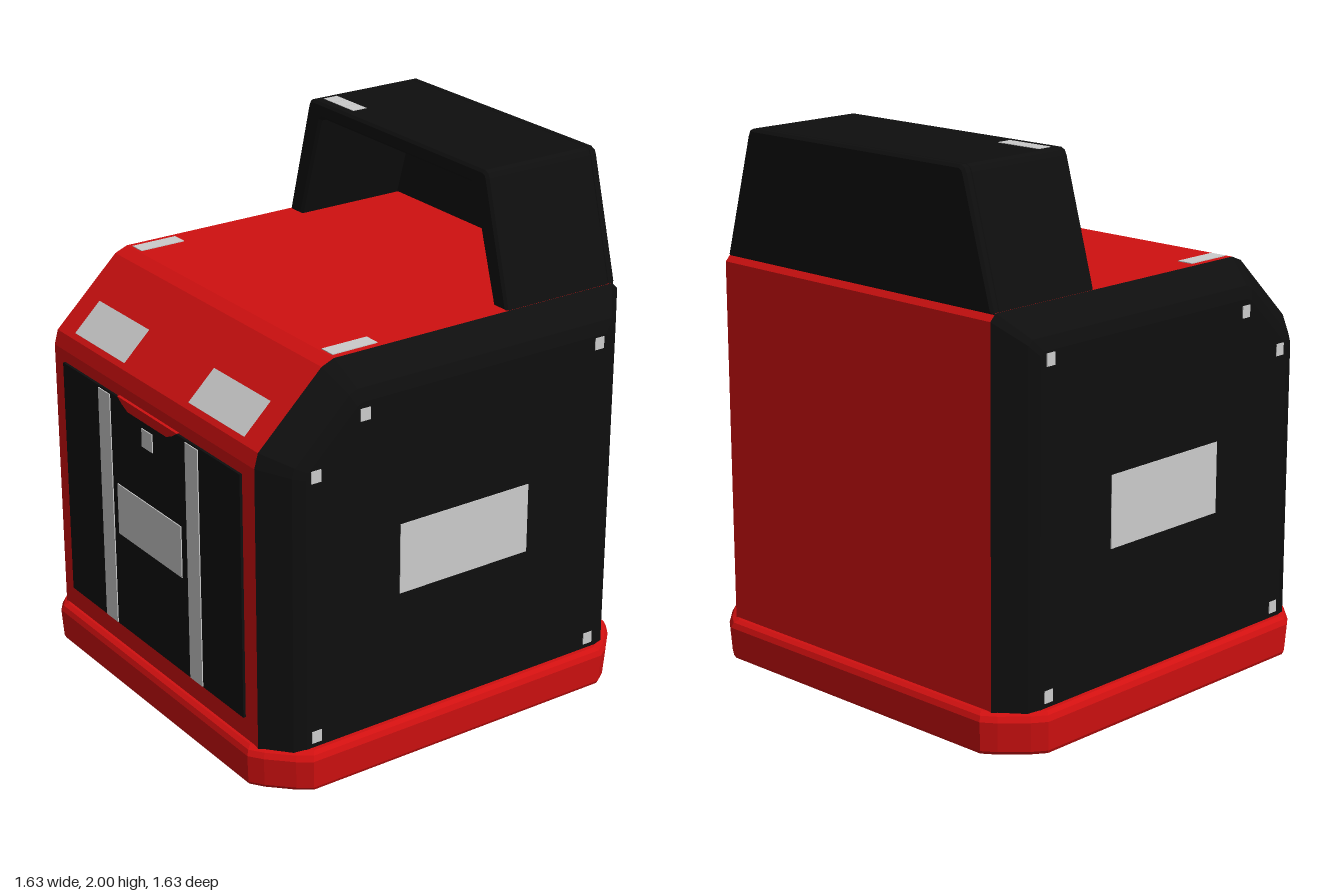
import * as THREE from 'three';

const red = new THREE.MeshStandardMaterial({ color: 0xd01010 });
const black = new THREE.MeshStandardMaterial({ color: 0x0e0e0e });
const grey = new THREE.MeshStandardMaterial({ color: 0xcccccc });

// Closed, flat-faced solid through rings of equal point count, capped by fans
function loft(rings) {
  const n = rings[0].length, tris = [];
  for (let r = 0; r < rings.length - 1; r++) {
    for (let i = 0; i < n; i++) {
      const j = (i + 1) % n, a = rings[r], b = rings[r + 1];
      tris.push([a[i], a[j], b[j]], [a[i], b[j], b[i]]);
    }
  }
  const first = rings[0], last = rings[rings.length - 1];
  for (let i = 1; i < n - 1; i++) {
    tris.push([first[0], first[i + 1], first[i]], [last[0], last[i], last[i + 1]]);
  }
  // Turn the faces outward whichever way the rings run
  let volume = 0;
  for (const [a, b, c] of tris) volume += a.dot(b.clone().cross(c));
  const pos = [];
  for (const t of tris) for (const p of volume < 0 ? t.reverse() : t) pos.push(p.x, p.y, p.z);
  const g = new THREE.BufferGeometry();
  g.setAttribute('position', new THREE.Float32BufferAttribute(pos, 3));
  g.computeVertexNormals();
  return g;
}

export function createModel() {
  const model = new THREE.Group();
  const add = (name, geometry, material, x = 0, y = 0, z = 0) => {
    const m = new THREE.Mesh(geometry, material);
    m.name = name;
    m.position.set(x, y, z);
    model.add(m);
    return m;
  };
  const box = (name, mat, w, h, d, x, y, z) => add(name, new THREE.BoxGeometry(w, h, d), mat, x, y, z);

  // Base tray with chamfered corners
  const corner = [[0.815, 0.65], [0.78, 0.7], [0.7, 0.78], [0.65, 0.815]];
  const tray = (y, s) => {
    const ring = [];
    for (let q = 0; q < 4; q++) {
      for (const [x, z] of corner) {
        const p = new THREE.Vector3(x * s, y, z * s);
        ring.push(p.applyAxisAngle(new THREE.Vector3(0, 1, 0), -q * Math.PI / 2));
      }
    }
    return ring;
  };
  add('base', loft([tray(0, 0.985), tray(0.012, 0.992), tray(0.12, 1), tray(0.14, 0.99), tray(0.15, 0.97)]), red);

  // Side profile of the housing as [z, y], and its inset for the outer cheek face
  const profile = [[-0.775, 0.14], [-0.775, 1.505], [-0.75, 1.53], [0.46, 1.53],
    [0.51, 1.51], [0.765, 1.265], [0.78, 1.21], [0.78, 0.14]];
  const inset = [[-0.65, 0.14], [-0.65, 1.385], [-0.635, 1.4], [0.415, 1.4],
    [0.44, 1.39], [0.64, 1.2], [0.65, 1.175], [0.65, 0.14]];
  const section = (x, t) => profile.map(([z, y], i) =>
    new THREE.Vector3(x, y + (inset[i][1] - y) * t, z + (inset[i][0] - z) * t));

  add('housing', loft([section(-0.665, 0), section(0.665, 0)]), red);

  // Side cheeks with bevelled rims, their labels and bolt covers
  const bolts = [[0.41, 1.355], [0.61, 1.18], [0.61, 0.19], [-0.605, 1.37], [-0.61, 0.19]];
  for (const s of [-1, 1]) {
    const side = s > 0 ? 'left' : 'right';
    add(side + 'Cheek', loft([section(s * 0.665, 0), section(s * 0.758, 0.66), section(s * 0.775, 1)]), black);
    box(side + 'SideLabel', grey, 0.006, 0.265, 0.56, s * 0.775, 0.773, -0.02);
    bolts.forEach(([z, y], i) => box(side + 'BoltCover' + (i + 1), grey, 0.006, 0.045, 0.04, s * 0.775, y, z));

    // Front rail, sloped panel label and top marker on each side
    box(side + 'FrontRail', grey, 0.08, 0.92, 0.006, s * 0.292, 0.698, 0.791);
    const label = box(side + 'SlopeLabel', grey, 0.345, 0.148, 0.006, s * 0.387, 1.3315, 0.6955);
    label.rotation.x = -Math.atan2(0.255, 0.245);
    box(side + 'TopMarker', grey, 0.062, 0.006, 0.185, s * 0.61, 1.53, 0.357);
  }

  // Front door with label, latch and the lip hanging over it
  box('frontDoor', black, 1.18, 0.93, 0.03, 0, 0.7, 0.775);
  box('frontLabel', grey, 0.43, 0.2, 0.006, -0.003, 0.72, 0.791);
  box('latch', grey, 0.07, 0.07, 0.006, 0, 1.07, 0.791);
  const lip = new THREE.Shape([[-0.2, 1.17], [-0.17, 1.15], [-0.13, 1.132], [0.13, 1.132], [0.17, 1.15], [0.2, 1.17]]
    .map(p => new THREE.Vector2(...p)));
  add('doorLip', new THREE.ExtrudeGeometry(lip, { depth: 0.022, bevelEnabled: false }), red, 0, 0, 0.77);

  // Hollow top hood: an arch open to the front, closed by a thin back wall
  const outer = [[-0.665, 1.525], [-0.54, 1.975], [-0.532, 1.992], [-0.515, 2],
    [0.515, 2], [0.532, 1.992], [0.54, 1.975], [0.665, 1.525]];
  const inner = [[0.588, 1.525], [0.462, 1.93], [0.45, 1.94], [-0.45, 1.94], [-0.462, 1.93], [-0.588, 1.525]];
  const shape = pts => new THREE.Shape(pts.map(p => new THREE.Vector2(...p)));
  const bevel = { bevelEnabled: true, bevelThickness: 0.01, bevelSize: 0.01, bevelOffset: -0.01, bevelSegments: 1 };
  add('hoodArch', new THREE.ExtrudeGeometry(shape([...outer, ...inner]), { depth: 0.45, ...bevel }), black, 0, 0, -0.73);
  add('hoodBack', new THREE.ExtrudeGeometry(shape(outer), { depth: 0.02, ...bevel }), black, 0, 0, -0.755);

  // Row of markers on the hood
  for (let i = 0; i < 3; i++) {
    box('hoodMarker' + (i + 1), grey, 0.061, 0.006, 0.06, -0.464 + i * 0.064, 1.999, -0.34);
  }
  return model;
}
